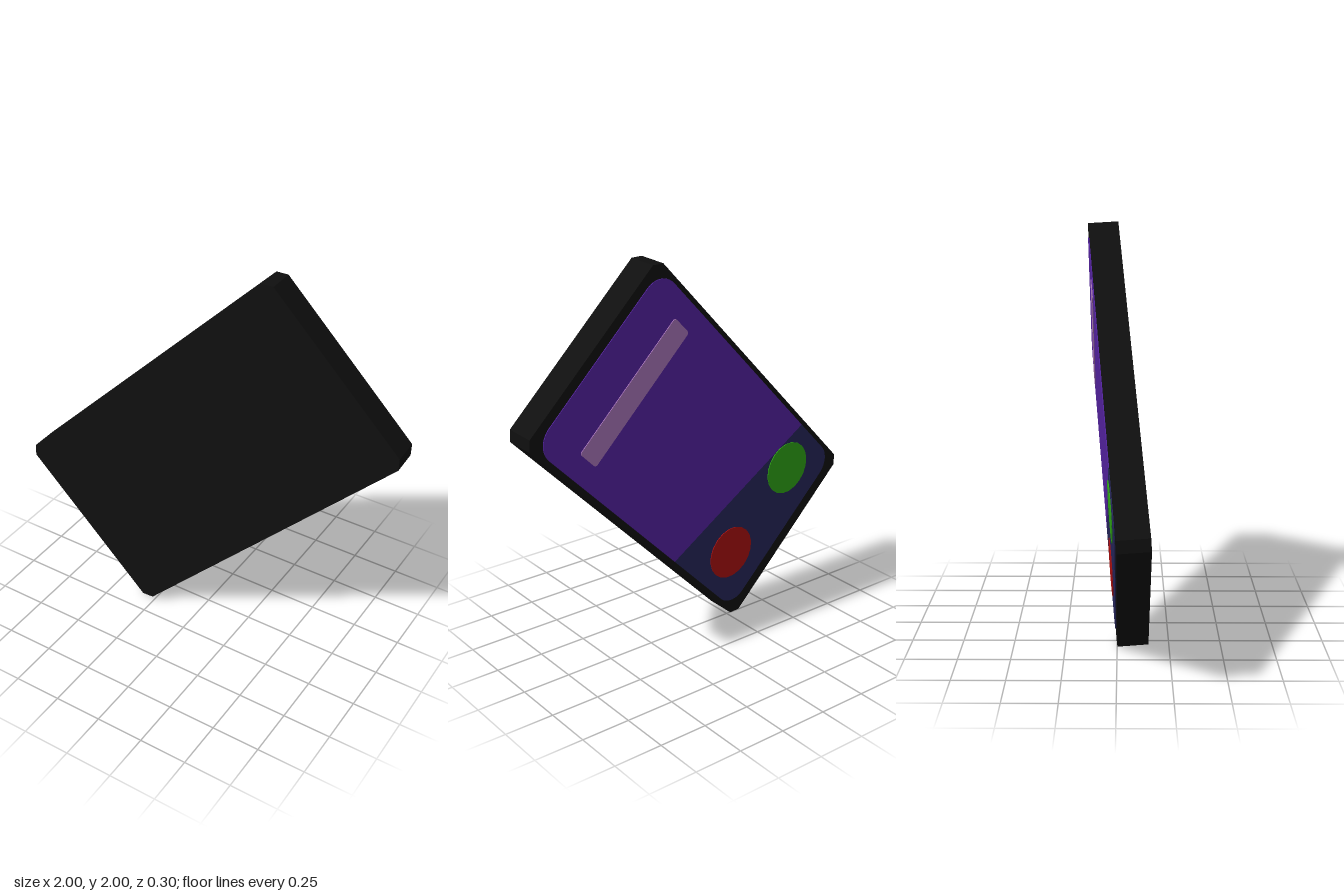
import * as THREE from 'three';

const paint = (name, color) => {
  const m = new THREE.MeshStandardMaterial({ color });
  m.name = name;
  return m;
};

// Closed outline through [x, y, cornerRadius] points; straight = chamfered corners
function outline(points, straight = false) {
  const shape = new THREE.Shape();
  const n = points.length;
  points.forEach(([x, y, r = 0], i) => {
    const corner = new THREE.Vector2(x, y);
    const toward = (j, d) => {
      const [px, py] = points[(j + n) % n];
      return new THREE.Vector2(px - x, py - y).setLength(d).add(corner);
    };
    const a = toward(i - 1, r), b = toward(i + 1, r);
    if (i === 0) shape.moveTo(a.x, a.y);
    else shape.lineTo(a.x, a.y);
    if (r === 0) return;
    if (straight) {
      shape.lineTo(b.x, b.y);
    } else {
      const c = toward(i - 1, r * 0.448), d = toward(i + 1, r * 0.448);
      shape.bezierCurveTo(c.x, c.y, d.x, d.y, b.x, b.y);
    }
  });
  shape.closePath();
  return shape;
}

const rect = (x0, x1, y0, y1, r) => [[x0, y0, r], [x1, y0, r], [x1, y1, r], [x0, y1, r]];

export function createModel() {
  const black = paint('case black', 0x0f0f0f);
  const purple = paint('screen purple', 0x5422a1);
  const navy = paint('lower screen navy', 0x252559);
  const lilac = paint('banner lilac', 0xa975ba);
  const red = paint('button red', 0xaa0f0f);
  const green = paint('button green', 0x2ea416);

  const model = new THREE.Group();
  model.name = 'handset';

  // Whole slab leans over diagonally and tips slightly backwards
  const slab = new THREE.Group();
  slab.name = 'slab';
  slab.rotation.set(-0.081, 0, -Math.PI / 4, 'ZYX');
  slab.position.y = 1;
  model.add(slab);

  const half = 0.075;
  const add = (name, shape, material, zBack, depth) => {
    const geo = new THREE.ExtrudeGeometry(shape, { depth, bevelEnabled: false, curveSegments: 10 });
    const mesh = new THREE.Mesh(geo, material);
    mesh.name = name;
    mesh.position.z = zBack;
    slab.add(mesh);
  };

  // Case with cut corners
  add('case', outline(rect(-0.515, 0.515, -0.94, 0.94, 0.042), true), black, -half, half * 2);

  // Screen on the back face, divided by a slanted line
  const w = 0.49, top = 0.89, bottom = -0.875, r = 0.11;
  const splitA = [-w, -0.52], splitB = [w, -0.29];
  add('upperScreen', outline([splitA, splitB, [w, top, r], [-w, top, r]]), purple, -half - 0.004, 0.004);
  add('lowerScreen', outline([[-w, bottom, r], [w, bottom, r], splitB, splitA]), navy, -half - 0.004, 0.004);

  // Banner and call buttons
  add('banner', outline(rect(-0.38, 0.38, 0.533, 0.657, 0.015)), lilac, -half - 0.008, 0.004);
  for (const [name, x, material] of [['redButton', 0.268, red], ['greenButton', -0.268, green]]) {
    const disc = new THREE.Shape().absarc(x, -0.615, 0.143, 0, Math.PI * 2);
    add(name, disc, material, -half - 0.008, 0.004);
  }

  return model;
}
